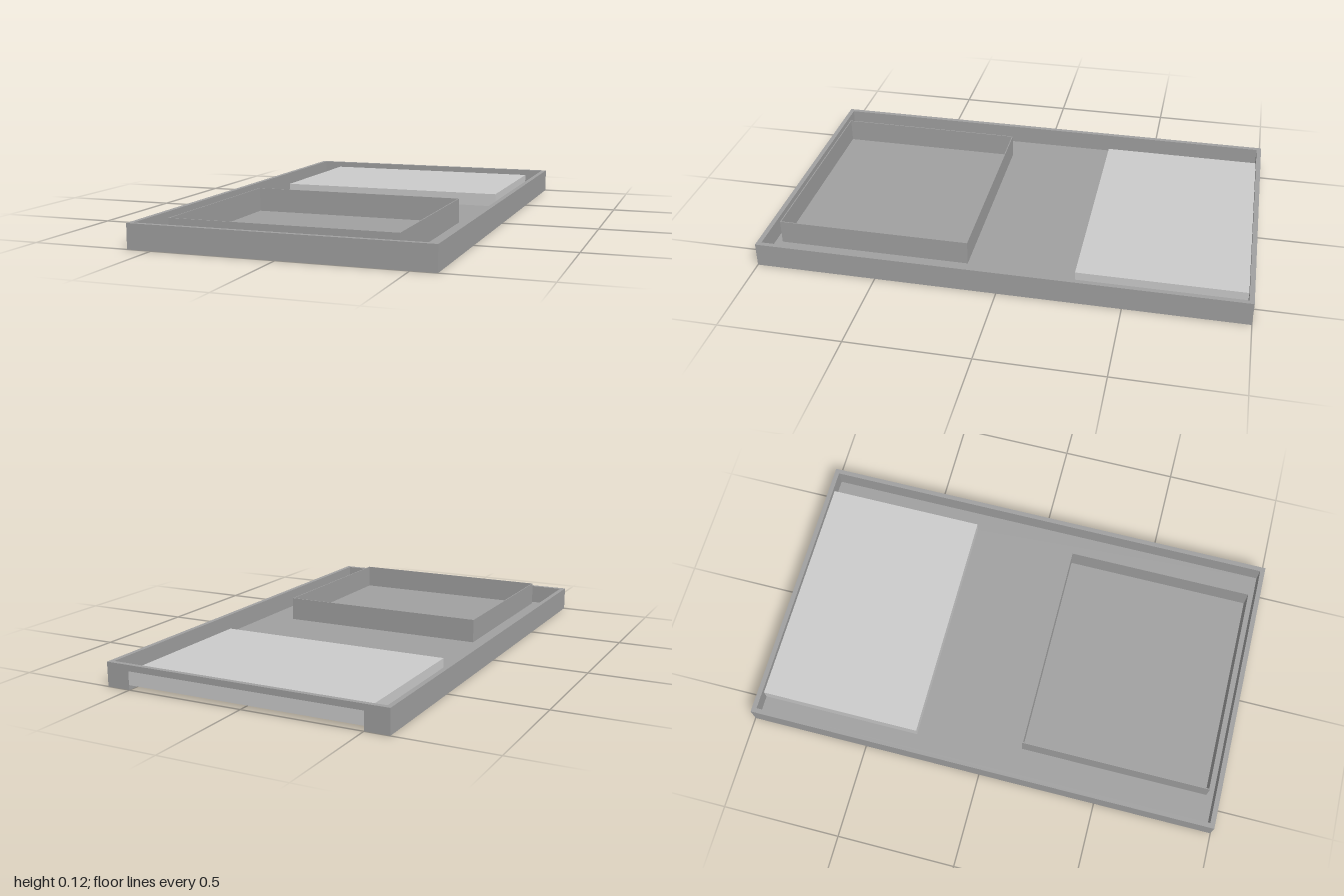
import * as THREE from 'three';

const W = 0.6, L = 1, H = 0.1, T = 0.02;   // half width, half length, rim height, wall thickness
const SLAB = { w: 0.5, front: -0.3, bottom: 0.02, top: 0.075 };
const POCKET = { w: 0.45, back: 0.15, front: 0.95, h: 0.12, t: 0.004 };

const bodyMaterial = new THREE.MeshStandardMaterial({ color: 0xa0a0a0 });
const slabMaterial = new THREE.MeshStandardMaterial({ color: 0xcccccc });

// Box given by its lower and upper corners
function block(name, [x0, y0, z0], [x1, y1, z1], material = bodyMaterial) {
  const mesh = new THREE.Mesh(new THREE.BoxGeometry(x1 - x0, y1 - y0, z1 - z0), material);
  mesh.position.set((x0 + x1) / 2, (y0 + y1) / 2, (z0 + z1) / 2);
  mesh.name = name;
  return mesh;
}

function polygon(points) {
  return new THREE.Shape(points.map(([x, y]) => new THREE.Vector2(x, y)));
}

function extrude(name, shape, depth) {
  const geometry = new THREE.ExtrudeGeometry(shape, { depth, bevelEnabled: false });
  const mesh = new THREE.Mesh(geometry, bodyMaterial);
  mesh.name = name;
  return mesh;
}

function createTray() {
  const tray = new THREE.Group();
  tray.name = 'tray';

  // Floor with a cut-out for the slab, open at the back (shape y becomes -z)
  const b = L - T, cut = -SLAB.front;
  const floor = extrude('floor', polygon([
    [-W + T, -b], [W - T, -b], [W - T, b], [SLAB.w, b],
    [SLAB.w, cut], [-SLAB.w, cut], [-SLAB.w, b], [-W + T, b],
  ]), T);
  floor.rotation.x = -Math.PI / 2;
  tray.add(floor);

  // Side and front walls
  for (const [side, x] of [['left', W - T], ['right', -W]]) {
    tray.add(block(`${side}Wall`, [x, 0, -L], [x + T, H, L]));
  }
  tray.add(block('frontWall', [-W + T, 0, L - T], [W - T, H, L]));

  // Back wall, notched from below around the slab
  const e = W - T;
  const back = extrude('backWall', polygon([
    [-e, 0], [-SLAB.w, 0], [-SLAB.w, SLAB.top], [SLAB.w, SLAB.top],
    [SLAB.w, 0], [e, 0], [e, H], [-e, H],
  ]), T);
  back.position.z = -L;
  tray.add(back);
  return tray;
}

// Thin open-topped frame standing slightly above the rim
function createPocket() {
  const p = POCKET;
  const outline = polygon([[-p.w, -p.front], [p.w, -p.front], [p.w, -p.back], [-p.w, -p.back]]);
  const i = p.w - p.t, f = p.front - p.t, k = p.back + p.t;
  outline.holes.push(polygon([[-i, -f], [-i, -k], [i, -k], [i, -f]]));
  const pocket = extrude('pocketFrame', outline, p.h - T);
  pocket.rotation.x = -Math.PI / 2;
  pocket.position.y = T;
  return pocket;
}

export function createModel() {
  const model = new THREE.Group();
  model.name = 'tray with pocket';
  model.add(createTray(), createPocket());
  // Raised slab filling the cut-out, flush with the back
  model.add(block('raisedSlab', [-SLAB.w, SLAB.bottom, -L], [SLAB.w, SLAB.top, SLAB.front], slabMaterial));
  return model;
}
